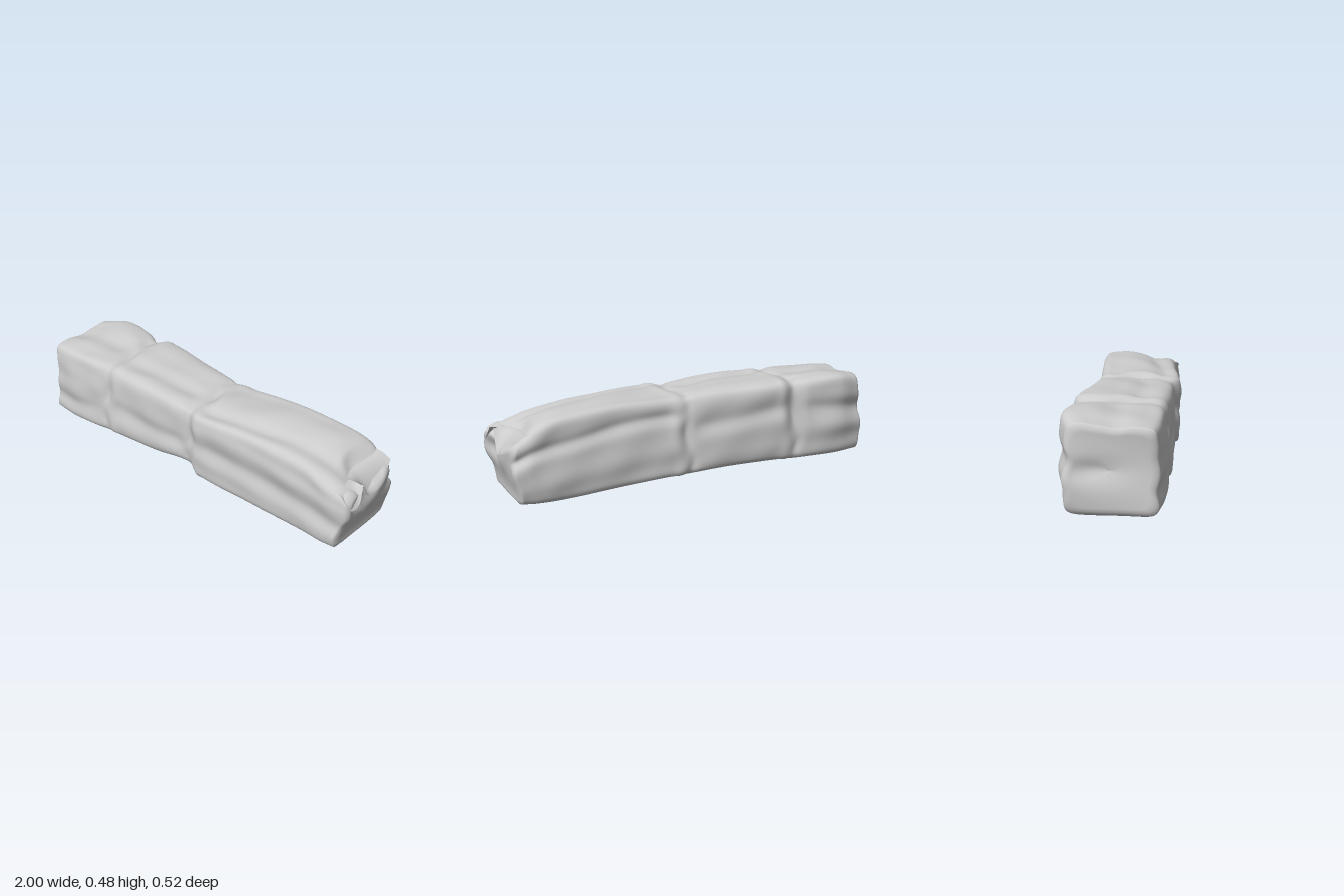
import * as THREE from 'three';

// Corner profiles along the beam (F/B = front/back, B/T = bottom/top):
// x, yFB, yBB, yFT, yBT, zFB, zBB, zFT, zBT
const STATIONS = [
  [-1.0, .045, .045, .45, .455, .21, -.215, .2, -.21],
  [-.85, .05, .042, .455, .485, .235, -.24, .215, -.25],
  [-.65, .06, .042, .46, .475, .24, -.24, .215, -.23],
  [-.57, .07, .042, .455, .465, .24, -.235, .205, -.2],
  [-.48, .075, .042, .46, .477, .245, -.22, .215, -.228],
  [-.2, .09, .042, .455, .462, .24, -.21, .23, -.19],
  [.02, .11, .037, .43, .445, .232, -.22, .225, -.165],
  [.1, .063, .037, .435, .44, .245, -.22, .252, -.165],
  [.4, .027, .027, .425, .455, .225, -.225, .22, -.185],
  [.7, .005, .01, .395, .435, .21, -.23, .2, -.2],
  [.9, .003, .01, .35, .39, .22, -.23, .205, -.21],
  [1.0, .008, .014, .32, .33, .22, -.218, .203, -.2],
];
const PINCHES = [-.57, .03];

// Folds per bay: position across the face (-1 to 1), width, height
const FOLDS = {
  front: [[[.15, .25, .009], [-.35, .2, -.008]], [[.45, .25, .006], [-.1, .25, -.007]], [[.5, .2, .007], [-.05, .3, -.011]]],
  back: [[[.35, .2, -.012], [-.1, .25, .008]], [[.3, .2, -.01], [-.2, .3, .008]], [[.45, .15, -.014], [-.15, .4, .012]]],
  top: [[[-.5, .25, .01], [.1, .3, -.006]], [[-.3, .3, .007], [.4, .25, -.006]], [[-.08, .3, .014], [.5, .22, -.01]]],
};

const { smoothstep, lerp, clamp } = THREE.MathUtils;
const bump = (v, centre, width) => Math.exp(-(((v - centre) / width) ** 2));

// Smooth interpolation of the station table
function profile(x) {
  const S = STATIONS, n = S.length;
  let i = 0;
  while (i < n - 2 && x > S[i + 1][0]) i++;
  const a = S[i], b = S[i + 1], h = b[0] - a[0], t = clamp((x - a[0]) / h, 0, 1);
  const slope = (k, c) => {
    const p = S[Math.max(k - 1, 0)], q = S[Math.min(k + 1, n - 1)];
    return (q[c] - p[c]) / (q[0] - p[0]);
  };
  return a.map((v, c) => {
    const t2 = t * t, t3 = t2 * t;
    return (2 * t3 - 3 * t2 + 1) * v + (t3 - 2 * t2 + t) * h * slope(i, c)
      + (3 * t2 - 2 * t3) * b[c] + (t3 - t2) * h * slope(i + 1, c);
  });
}

// Rounded square outline, running from front to top to back to bottom
function outline(t) {
  const a = t * Math.PI * 2;
  const k = 1 / Math.max(Math.abs(Math.cos(a)), Math.abs(Math.sin(a)));
  const p = Math.cos(a) * k, q = Math.sin(a) * k;
  const r = (Math.abs(p) ** 10 + Math.abs(q) ** 10) ** -.1;
  return [p * r, q * r];
}

// Lengthwise folds that change at each pinch, plus the pinches themselves
function relief(x, p, q) {
  const sideways = Math.abs(p) > Math.abs(q);
  if (!sideways && q < 0) return .002 * Math.sin(x * 9 + p * 3) * (1 - p * p);
  const bay = x < PINCHES[0] ? 0 : x < PINCHES[1] ? 1 : 2;
  const s = sideways ? q : p;
  const folds = FOLDS[sideways ? (p > 0 ? 'front' : 'back') : 'top'][bay];
  const near = Math.max(...PINCHES.map(c => bump(x, c, .06)));
  const edge = 1 - Math.min(1, Math.abs(s)) ** 6;
  const drift = .12 * Math.sin(x * 5 + bay * 2);
  let d = 0;
  for (const [centre, width, height] of folds) d += height * bump(s + drift, centre, width);
  d += .0025 * Math.sin(s * 9 + x * 3 + bay * 2) + .002 * Math.sin(x * 21 + s * 3);
  d *= (1 - near) * edge;
  PINCHES.forEach((c, i) => {
    const bent = x - c - .015 * Math.sin(s * 4 + i) * edge;
    d -= .01 * bump(bent, 0, .026) * (.6 + .4 * Math.sin(s * 7 + i) * edge);
    d += .006 * bump(bent, .06, .035);
  });
  return d;
}

// Uneven end faces
function endX(sign, y, z) {
  if (sign < 0) return -.985 - .01 * Math.sin(y * 13 + z * 5) + .025 * bump(y, .25, .05) * bump(z, -.08, .12);
  return .935 + .035 * smoothstep(y, .04, .22) - .03 * smoothstep(y, .27, .36)
    + .015 * bump(z, .15, .08) * smoothstep(y, .1, .2)
    - .03 * bump(z, .12, .05) * bump(y, .23, .05)
    + .012 * Math.sin(z * 26 + y * 14) * smoothstep(y, .1, .24);
}

// Depth of the hollow torn into the top of the worn end
const tornDrop = z => .075 * bump(z, -.01, .06) + .05 * bump(z, -.1, .06);

function beamPoint(u, scale, t) {
  const [p, q] = outline(t);
  const [, yFB, yBB, yFT, yBT, zFB, zBB, zFT, zBT] = profile(u);
  const blend = (fb, bb, ft, bt, a, b) =>
    lerp(lerp(bb, fb, (a + 1) / 2), lerp(bt, ft, (a + 1) / 2), (b + 1) / 2);
  const d = relief(u, p, q), a = p * scale, b = q * scale;
  const z = blend(zFB, zBB, zFT, zBT, a, b) + d * scale * p * Math.abs(p) ** 5;
  let y = blend(yFB, yBB, yFT, yBT, a, b) + d * scale * q * Math.abs(q) ** 5;
  y -= smoothstep(u, .84, 1) * smoothstep(y, 0, .34) * tornDrop(z);
  const sign = Math.sign(u), w = smoothstep(Math.abs(u), .7, 1);
  const round = .013 * smoothstep(scale, .9, 1);
  return [u + w * (endX(sign, y, z) - sign - sign * round), Math.max(y, 0), z];
}

// Indexed surface from a grid of points
function gridGeometry(rows, cols, point, closed) {
  const pos = [], index = [];
  for (let i = 0; i < rows; i++) for (let j = 0; j < cols; j++) pos.push(...point(i, j));
  for (let i = 0; i < rows - 1; i++) {
    for (let j = 0; j < (closed ? cols : cols - 1); j++) {
      const k = (j + 1) % cols;
      const a = i * cols + j, b = a + cols, c = (i + 1) * cols + k, d = i * cols + k;
      index.push(a, b, c, a, c, d);
    }
  }
  const g = new THREE.BufferGeometry();
  g.setAttribute('position', new THREE.Float32BufferAttribute(pos, 3));
  g.setIndex(index);
  g.computeVertexNormals();
  return g;
}

// Thin torn sheet drooping from a root curve to a lip curve
function flapGeometry(root, lip) {
  const curve = pts => new THREE.CatmullRomCurve3(pts.map(v => new THREE.Vector3(...v)));
  const r = curve(root), l = curve(lip);
  return gridGeometry(15, 41, (i, j) => {
    const s = i / 14, t = j / 40, a = r.getPoint(t), b = l.getPoint(t);
    return [lerp(a.x, b.x, s), lerp(a.y, b.y, s * s), lerp(a.z, b.z, s)];
  }, false);
}

export function createModel() {
  const model = new THREE.Group();
  const material = new THREE.MeshStandardMaterial({ color: 0xcccccc });
  const sheet = new THREE.MeshStandardMaterial({ color: 0xcccccc, side: THREE.DoubleSide });
  const add = (name, geometry, mat) => {
    const mesh = new THREE.Mesh(geometry, mat);
    mesh.name = name;
    model.add(mesh);
  };

  // Beam body with both end faces in one continuous skin
  const cap = [0, .15, .3, .45, .6, .72, .82, .9, .96], length = 200;
  const rings = cap.map(s => [-1, s]);
  for (let i = 0; i <= length; i++) rings.push([-1 + 2 * i / length, 1]);
  rings.push(...cap.slice().reverse().map(s => [1, s]));
  const around = 144;
  add('beamBody', gridGeometry(rings.length, around,
    (i, j) => beamPoint(rings[i][0], rings[i][1], j / around), true), material);

  // Torn sheets hanging over the worn end
  add('frontTornFlap', flapGeometry(
    [[.9, .33, .2], [.91, .335, .17], [.91, .335, .13], [.9, .335, .08]],
    [[.965, .305, .207], [.99, .25, .185], [1, .255, .14], [.985, .34, .085]]), sheet);
  add('backTornFlap', flapGeometry(
    [[.87, .335, .07], [.86, .335, 0], [.86, .345, -.09], [.87, .36, -.19]],
    [[.97, .335, .075], [.975, .225, 0], [.97, .245, -.09], [.95, .325, -.2]]), sheet);
  return model;
}
